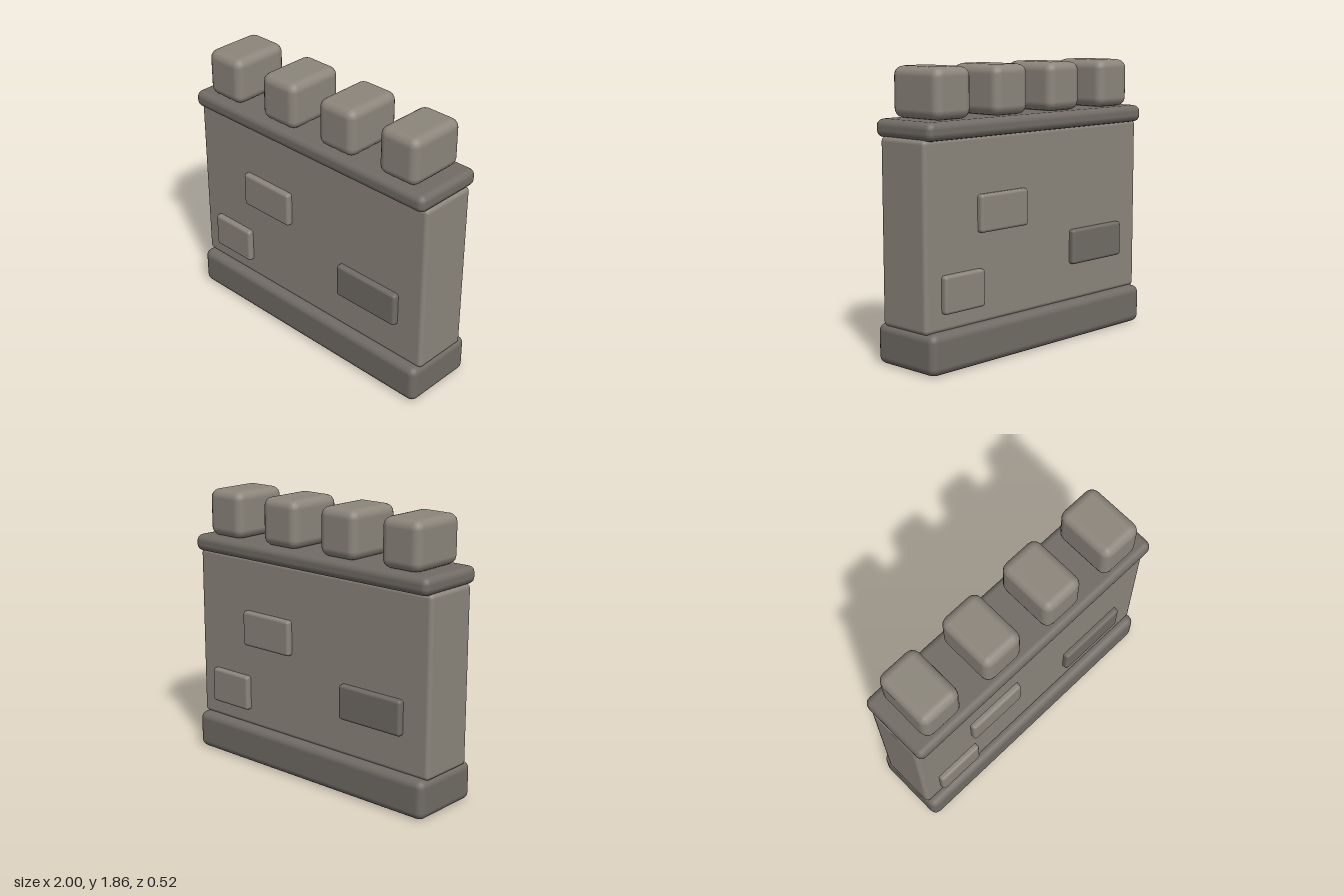
import * as THREE from 'three';
import { RoundedBoxGeometry } from 'three/addons/geometries/RoundedBoxGeometry.js';

const stone = new THREE.MeshStandardMaterial({ color: 0x8c867c });
const darkStone = new THREE.MeshStandardMaterial({ color: 0x716c65 });

// Rounded block given by its centre x, bottom and top y, width, depth and edge radius
function block(name, material, x, y0, y1, width, depth, radius, z = 0) {
  const mesh = new THREE.Mesh(new RoundedBoxGeometry(width, y1 - y0, depth, 2, radius), material);
  mesh.position.set(x, (y0 + y1) / 2, z);
  mesh.name = name;
  return mesh;
}

// Raised stones on one face: [left, right, bottom, top, material]
const stones = [
  [-0.56, -0.14, 0.83, 1.07, stone],
  [0.30, 0.80, 0.505, 0.74, darkStone],
  [-0.87, -0.53, 0.365, 0.605, stone],
];

function faceStones(name) {
  const group = new THREE.Group();
  group.name = name;
  for (const [x0, x1, y0, y1, material] of stones) {
    group.add(block('raisedStone', material, (x0 + x1) / 2, y0, y1, x1 - x0, 0.08, 0.02, 0.2));
  }
  return group;
}

export function createModel() {
  const model = new THREE.Group();
  model.name = 'battlementWall';

  // Plinth, wall and coping
  model.add(block('base', darkStone, 0, 0, 0.26, 2, 0.52, 0.05));
  model.add(block('wall', stone, 0, 0.25, 1.435, 2, 0.4, 0.03));
  model.add(block('coping', darkStone, 0, 1.425, 1.54, 2, 0.505, 0.045));

  // Merlons along the top
  for (let i = 0; i < 4; i++) {
    model.add(block('merlon', stone, -0.75 + i * 0.5, 1.54, 1.86, 0.3, 0.42, 0.06));
  }

  // Same stones on both faces, the back turned half round
  const back = faceStones('backStones');
  back.rotation.y = Math.PI;
  model.add(faceStones('frontStones'), back);

  return model;
}
